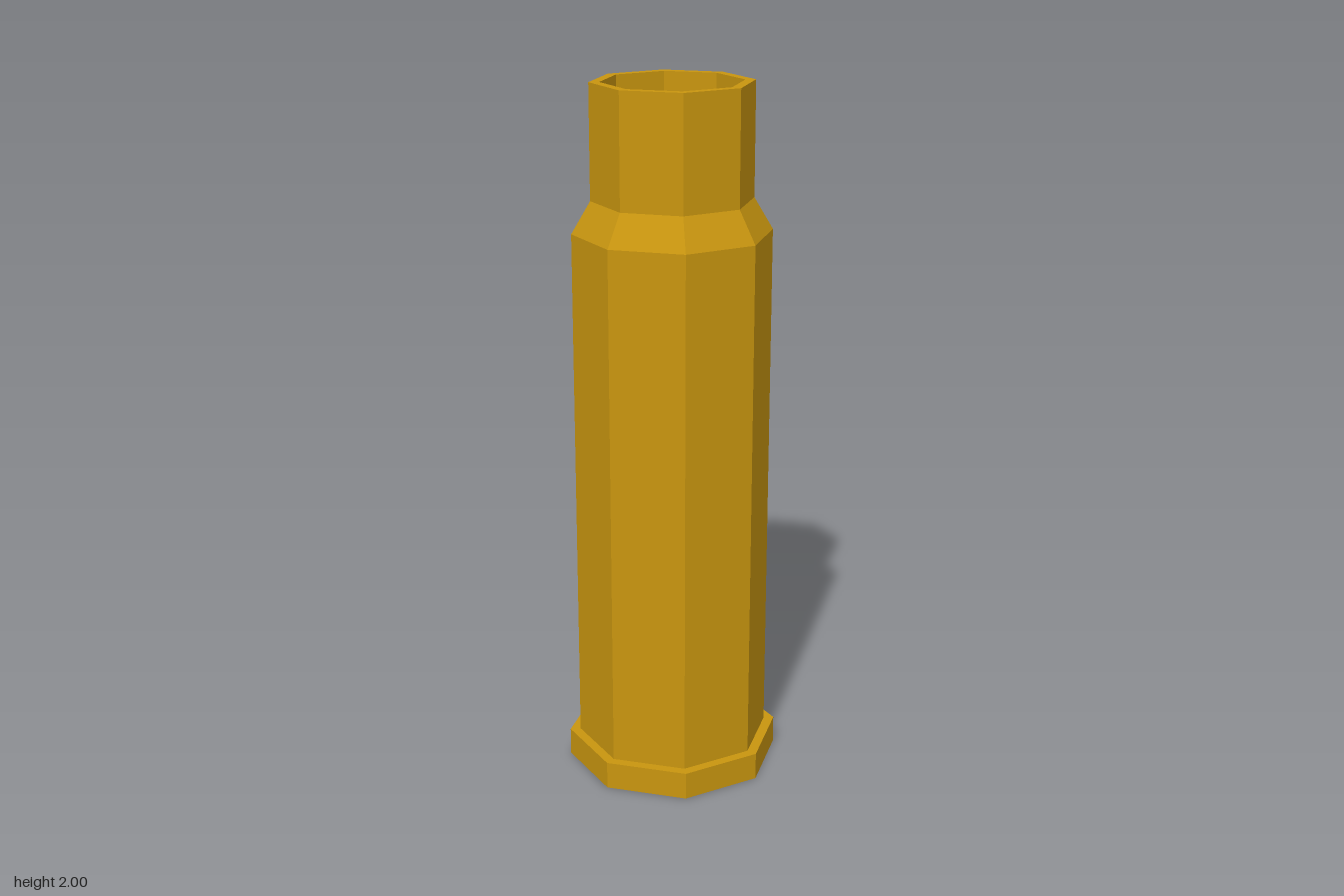
import * as THREE from 'three';

const SIDES = 8;

export function createModel() {
  const group = new THREE.Group();
  group.name = 'cartridgeCase';

  const brass = new THREE.MeshStandardMaterial({ color: 0xc8950f, flatShading: true });
  brass.name = 'brass';

  // Revolve a [radius, height] profile into a faceted part with corners on the axes
  const addPart = (name, profile) => {
    const points = profile.map(([r, y]) => new THREE.Vector2(r, y));
    const mesh = new THREE.Mesh(new THREE.LatheGeometry(points, SIDES), brass);
    mesh.name = name;
    group.add(mesh);
  };

  // Wide base rim: closed underside, side wall and the ledge around the body
  addPart('baseRim', [[0, 0], [0.308, 0], [0.308, 0.08], [0.278, 0.08]]);

  // Straight body
  addPart('body', [[0.278, 0.08], [0.279, 1.59]]);

  // Sloped shoulder up to the neck
  addPart('shoulder', [[0.279, 1.59], [0.226, 1.68]]);

  // Neck with its thin mouth edge
  addPart('neck', [[0.226, 1.68], [0.226, 2], [0.197, 2]]);

  // Hollow inside with a flat floor
  addPart('bore', [[0.197, 2], [0.197, 0.08], [0, 0.08]]);

  return group;
}
